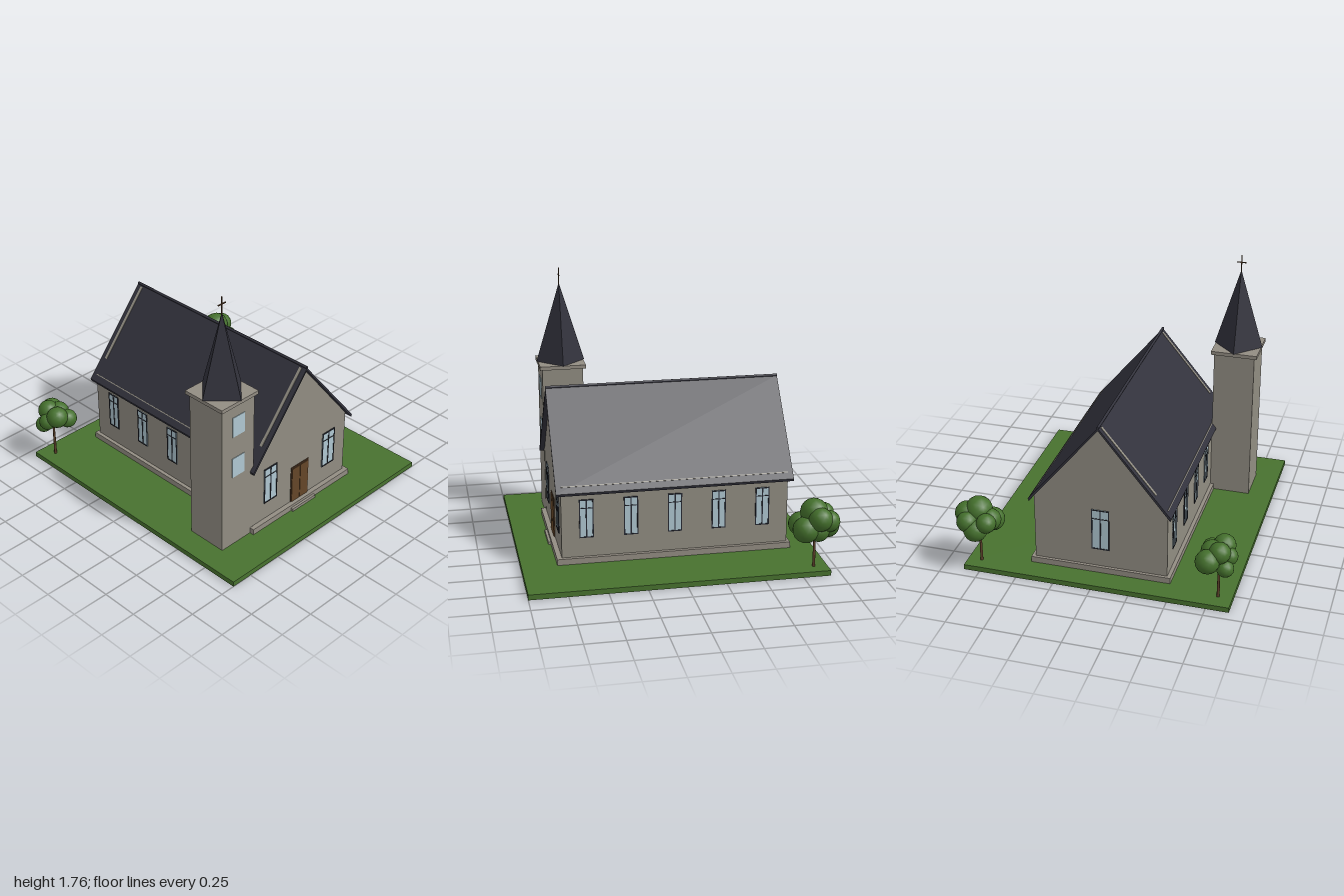
import * as THREE from 'three';

const mat = (name, color) => {
  const m = new THREE.MeshStandardMaterial({ color });
  m.name = name;
  return m;
};

export function createModel() {
  const root = new THREE.Group();
  root.name = 'church';
  const M = {
    wall: mat('wall stone', 0x918d82),
    trim: mat('trim stone', 0x938d83),
    roof: mat('roof slate', 0x32323c),
    grass: mat('grass', 0x48722f),
    glass: mat('window glass', 0xb0c8d2),
    frame: mat('window frame', 0x272a33),
    door: mat('door wood', 0x644628),
    doorFrame: mat('door frame wood', 0x4a3220),
    bark: mat('bark', 0x5c4029),
    leaf: mat('foliage', 0x44702c),
  };
  const add = (parent, name, geo, material, x = 0, y = 0, z = 0) => {
    const m = new THREE.Mesh(geo, material);
    m.name = name;
    m.position.set(x, y, z);
    parent.add(m);
    return m;
  };
  // Box given by its limits on each axis
  const box = (parent, name, material, x0, x1, y0, y1, z0, z1) =>
    add(parent, name, new THREE.BoxGeometry(x1 - x0, y1 - y0, z1 - z0), material,
      (x0 + x1) / 2, (y0 + y1) / 2, (z0 + z1) / 2);
  // Profile in x and y, extruded from z0 to z1
  const prism = (name, material, points, z0, z1) => {
    const shape = new THREE.Shape(points.map(p => new THREE.Vector2(...p)));
    const geo = new THREE.ExtrudeGeometry(shape, { depth: z1 - z0, bevelEnabled: false });
    return add(root, name, geo, material, 0, 0, z0);
  };

  // Lawn, plinth and steps
  box(root, 'lawn', M.grass, -0.9, 0.855, 0, 0.035, -0.93, 1);
  box(root, 'plinth', M.trim, -0.485, 0.445, 0.03, 0.075, -0.775, 0.77);
  box(root, 'doorStep', M.trim, -0.13, 0.09, 0.03, 0.055, 0.74, 0.787);

  // Nave with gables
  const cx = -0.02, ridge = 1.09, slope = 0.57 / 0.47, front = 0.737, back = -0.755;
  const roofY = d => ridge - d * slope;
  const half = 0.44, t = 0.018;
  prism('naveWalls', M.wall, [
    [cx - half, 0.05], [cx + half, 0.05], [cx + half, roofY(half) - t],
    [cx, ridge - t], [cx - half, roofY(half) - t],
  ], back, front);

  // Roof and ridge
  const e = 0.47;
  prism('roof', M.roof, [
    [cx - e, roofY(e)], [cx - e + 0.006, roofY(e) - t], [cx, ridge - t],
    [cx + e - 0.006, roofY(e) - t], [cx + e, roofY(e)], [cx, ridge],
  ], -0.788, 0.77);
  const ridgeCap = add(root, 'ridgeCap', new THREE.CylinderGeometry(0.009, 0.009, 1.558, 8), M.roof, cx, ridge + 0.002, -0.009);
  ridgeCap.rotation.x = Math.PI / 2;

  // Thin stone strips lying on the roof slopes
  const roofStrip = (name, side, d0, d1, z0, z1) => {
    const d = (d0 + d1) / 2, length = (d1 - d0) * Math.hypot(1, slope);
    const s = add(root, name, new THREE.BoxGeometry(length, 0.006, z1 - z0), M.wall,
      cx + side * d, roofY(d), (z0 + z1) / 2);
    s.rotation.z = -side * Math.atan(slope);
  };
  roofStrip('frontGableStrip', -1, 0.01, 0.36, 0.715, 0.735);
  roofStrip('backGableStrip', -1, 0.01, 0.36, -0.755, -0.735);
  for (const side of [-1, 1]) roofStrip('eaveStrip', side, 0.437, 0.441, back, front);

  // Framed windows, built facing +z and then turned
  const addWindow = (name, x, y, z, w, h, turn) => {
    const g = new THREE.Group();
    g.name = name;
    g.position.set(x, y, z);
    g.rotation.y = turn;
    root.add(g);
    const b = 0.007, a = w / 2, c = h / 2;
    box(g, 'glass', M.glass, -a, a, -c, c, -0.002, 0.004);
    for (const s of [-1, 1]) {
      box(g, 'frameSide', M.frame, s * (a - b / 2) - b / 2, s * (a - b / 2) + b / 2, -c, c, -0.002, 0.007);
      box(g, 'frameEnd', M.frame, -a, a, s * (c - b / 2) - b / 2, s * (c - b / 2) + b / 2, -0.002, 0.007);
    }
    box(g, 'mullion', M.frame, -0.004, 0.004, -c, c, -0.002, 0.007);
    box(g, 'transom', M.frame, -a, a, c * 0.53, c * 0.53 + 0.005, -0.002, 0.007);
  };
  for (const x of [-0.3, 0.255]) addWindow('frontWindow', x, 0.333, front, 0.118, 0.265, 0);
  for (const z of [0.575, 0.285, -0.003, -0.293, -0.585])
    for (const s of [-1, 1])
      addWindow('sideWindow', cx + s * half, 0.335, z, 0.093, 0.26, s * Math.PI / 2);
  addWindow('backWindow', cx, 0.345, back, 0.118, 0.29, Math.PI);

  // Double door
  box(root, 'doorFrame', M.doorFrame, -0.105, 0.062, 0.075, 0.348, 0.73, front + 0.004);
  for (const s of [-1, 1]) {
    const x = cx - 0.0015 + s * 0.039;
    box(root, 'doorLeaf', M.door, x - 0.037, x + 0.037, 0.075, 0.336, 0.735, front + 0.008);
  }

  // Tower, cap and spire
  const tx = -0.598, tz = 0.598;
  box(root, 'tower', M.wall, tx - 0.138, tx + 0.138, 0.03, 1.09, tz - 0.138, tz + 0.141);
  box(root, 'towerCap', M.trim, tx - 0.157, tx + 0.157, 1.087, 1.112, tz - 0.157, tz + 0.157);
  const spire = new THREE.ConeGeometry(0.165, 0.545, 4).toNonIndexed();
  spire.computeVertexNormals();
  add(root, 'spire', spire, M.roof, tx, 1.3845, tz);
  for (const y of [0.63, 0.93])
    box(root, 'towerWindow', M.glass, tx - 0.052, tx + 0.052, y - 0.071, y + 0.071, tz + 0.138, tz + 0.145);
  box(root, 'crossPost', M.bark, tx - 0.003, tx + 0.003, 1.64, 1.76, tz - 0.003, tz + 0.003);
  box(root, 'crossArm', M.bark, tx - 0.031, tx + 0.031, 1.708, 1.714, tz - 0.003, tz + 0.003);

  // Trees: trunk plus leaf clumps [x, y, z, radius]
  const addTree = (name, x, z, clumps) => {
    const g = new THREE.Group();
    g.name = name;
    root.add(g);
    add(g, 'trunk', new THREE.CylinderGeometry(0.007, 0.01, 0.28, 8), M.bark, x, 0.165, z);
    for (const [px, py, pz, r] of clumps)
      add(g, 'leafClump', new THREE.IcosahedronGeometry(r, 2), M.leaf, px, py, pz);
  };
  addTree('backRightTree', -0.808, -0.825, [
    [-0.75, 0.335, -0.908, 0.078], [-0.865, 0.335, -0.81, 0.058], [-0.825, 0.375, -0.755, 0.073],
    [-0.745, 0.335, -0.745, 0.064], [-0.815, 0.38, -0.86, 0.07], [-0.855, 0.28, -0.87, 0.056],
    [-0.76, 0.36, -0.82, 0.072],
  ]);
  addTree('backLeftTree', 0.765, -0.84, [
    [0.77, 0.41, -0.83, 0.09], [0.845, 0.385, -0.85, 0.078], [0.69, 0.36, -0.85, 0.074],
    [0.765, 0.31, -0.92, 0.078], [0.705, 0.31, -0.76, 0.078], [0.815, 0.31, -0.765, 0.085],
    [0.69, 0.37, -0.92, 0.065], [0.82, 0.36, -0.915, 0.07], [0.8, 0.295, -0.85, 0.075],
  ]);
  return root;
}
